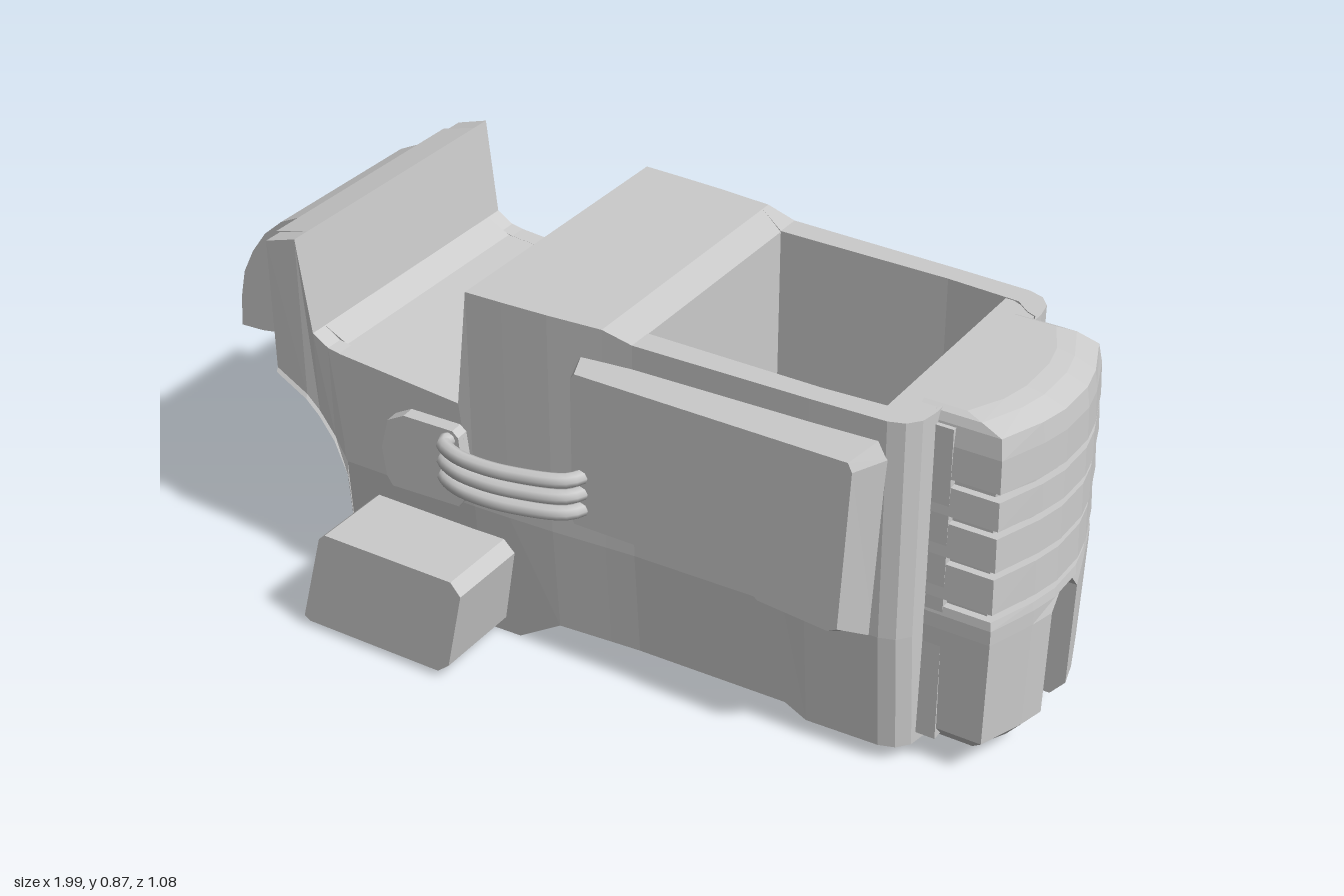
import * as THREE from 'three';

const flat = new THREE.MeshStandardMaterial({ color: 0xcccccc, flatShading: true });
const smooth = new THREE.MeshStandardMaterial({ color: 0xcccccc });

// 2D projections in which rings run counter-clockwise, seen from the loft direction
const PROJECT = {
  x: p => new THREE.Vector2(-p[2], p[1]),
  y: p => new THREE.Vector2(p[0], -p[2]),
  z: p => new THREE.Vector2(p[0], p[1]),
};

// Skin equal-length rings along an axis and cap both ends
function loft(rings, axis) {
  const n = rings[0].length, last = (rings.length - 1) * n, index = [];
  for (let i = 0; i < rings.length - 1; i++) {
    for (let j = 0; j < n; j++) {
      const a = i * n + j, b = i * n + (j + 1) % n;
      index.push(a, b, b + n, a, b + n, a + n);
    }
  }
  const cap = ring => THREE.ShapeUtils.triangulateShape(ring.map(PROJECT[axis]), []);
  for (const [a, b, c] of cap(rings[0])) index.push(a, c, b);
  for (const [a, b, c] of cap(rings[rings.length - 1])) index.push(last + a, last + b, last + c);
  const g = new THREE.BufferGeometry();
  g.setAttribute('position', new THREE.Float32BufferAttribute(rings.flat(2), 3));
  g.setIndex(index);
  g.computeVertexNormals();
  return g;
}

// Mirror across z and restore the winding
function mirrorZ(geometry) {
  const g = geometry.clone().scale(1, 1, -1), ix = g.index;
  for (let i = 0; i < ix.count; i += 3) {
    const b = ix.getX(i + 1);
    ix.setX(i + 1, ix.getX(i + 2));
    ix.setX(i + 2, b);
  }
  g.computeVertexNormals();
  return g;
}

// Side-view outline (counter-clockwise) between two depths
const slab = (pts, z0, z1, outer = pts) =>
  loft([pts.map(([x, y]) => [x, y, z0]), outer.map(([x, y]) => [x, y, z1])], 'z');

export function createModel() {
  const model = new THREE.Group();
  const add = (name, geometry, material = flat) => {
    const m = new THREE.Mesh(geometry, material);
    m.name = name;
    model.add(m);
    return m;
  };
  const addPair = (name, geometry, material) => {
    add(name + 'Front', geometry, material);
    add(name + 'Back', mirrorZ(geometry), material);
  };

  // Inner core: floor, cockpit alcove, open cargo pit and rear arch in one outline
  const core = [
    [-0.6, 0.03], [-0.17, 0.03], [-0.06, 0.09], [0.5, 0.09], [0.55, 0.06], [0.775, 0.06],
    [0.775, 0.845], [0.69, 0.845], [0.69, 0.3], [0.14, 0.3], [0.14, 0.845], [0.07, 0.865],
    [-0.26, 0.865], [-0.262, 0.83], [0.1, 0.83], [0.1, 0.59], [-0.29, 0.585], [-0.62, 0.61],
    [-0.68, 0.64], [-0.71, 0.865], [-0.8, 0.84], [-0.785, 0.51], [-0.71, 0.465],
    [-0.64, 0.375], [-0.605, 0.29],
  ];
  const coreRing = s => core.map(([x, y]) => [x, y, s * (x > 0.76 ? 0.23 : x > 0.12 ? 0.27 : 0.31)]);
  add('bodyCore', loft([coreRing(-1), coreRing(1)], 'z'));

  // Side walls, stations: x, bottom, top, outer z, inner z
  const stations = [
    [-0.79, 0.51, 0.84, 0.357, 0.3], [-0.71, 0.465, 0.865, 0.357, 0.31],
    [-0.68, 0.43, 0.64, 0.353, 0.31], [-0.64, 0.375, 0.615, 0.353, 0.31],
    [-0.61, 0.29, 0.61, 0.353, 0.31], [-0.615, 0, 0.61, 0.353, 0.31],
    [-0.29, 0, 0.585, 0.353, 0.31], [-0.26, 0, 0.865, 0.353, 0.31],
    [-0.17, 0, 0.865, 0.35, 0.31], [-0.06, 0.07, 0.865, 0.345, 0.31],
    [0.07, 0.07, 0.865, 0.335, 0.31], [0.14, 0.07, 0.847, 0.33, 0.27],
    [0.5, 0.07, 0.847, 0.322, 0.27], [0.55, 0.04, 0.847, 0.321, 0.27],
    [0.72, 0.04, 0.847, 0.315, 0.26], [0.755, 0.04, 0.847, 0.303, 0.23],
    [0.778, 0.04, 0.847, 0.275, 0.22], [0.785, 0.04, 0.847, 0.235, 0.2],
  ];
  addPair('sideWall', loft(stations.map(([x, b, t, zo, zi]) => {
    const mid = Math.max(0.33, b + 0.01);
    const low = zo - 0.1 * Math.max(0, 0.33 - b);
    return [[x, b, low], [x, b, Math.min(zi, low - 0.02)], [x, t, zi], [x, t, zo], [x, mid, zo - 0.005]];
  }), 'x'));

  // Curved rear fender
  add('rearFender', slab([
    [-1, 0.505], [-0.94, 0.508], [-0.87, 0.52], [-0.77, 0.505], [-0.78, 0.835], [-0.81, 0.832],
    [-0.86, 0.808], [-0.91, 0.765], [-0.95, 0.71], [-0.98, 0.65], [-0.995, 0.58],
  ], -0.222, 0.222));

  // Nose plan at height y: shrink s, half width w, optional half-width of the centre notch
  const plan = (y, s = 0, notch = 0, w = 0.235 - s) => [
    [0.74, y, w], [0.935 - s, y, w], [0.975 - s, y, 0.12],
    ...(notch ? [[0.99 - s, y, notch], [0.83, y, notch], [0.83, y, -notch], [0.99 - s, y, -notch]]
      : [[0.99 - s, y, 0.05], [0.99 - s, y, -0.05]]),
    [0.975 - s, y, -0.12], [0.935 - s, y, -w], [0.74, y, -w],
  ];
  add('noseLower', loft([plan(0.05, 0.04, 0.06), plan(0.09, 0.006, 0.06), plan(0.345, 0, 0.06), plan(0.38, 0, 0.03)], 'y'));
  add('noseGrilleBack', loft([plan(0.38, 0.02), plan(0.8, 0.02)], 'y'));
  for (const [y0, y1] of [[0.38, 0.4], [0.42, 0.503], [0.522, 0.6], [0.62, 0.685]]) {
    add('noseSlat', loft([plan(y0), plan(y1, 0.003)], 'y'));
  }
  add('noseCap', loft([plan(0.705, 0.002), plan(0.78, 0.005), plan(0.825, 0.012), plan(0.843, 0.06, 0, 0.215), plan(0.85, 0.1, 0, 0.2)], 'y'));
  add('noseCheeks', new THREE.BoxGeometry(0.085, 0.755, 0.468).translate(0.7825, 0.4425, 0));
  add('notchPost', new THREE.CylinderGeometry(0.026, 0.026, 0.27, 16).translate(0.845, 0.215, 0), smooth);

  // Raised side panels with chamfered rims
  const panelBase = [
    [-0.02, 0.4], [0, 0.385], [0.42, 0.365], [0.47, 0.34], [0.65, 0.315],
    [0.705, 0.322], [0.732, 0.76], [0.71, 0.803], [0.01, 0.803], [-0.02, 0.77],
  ];
  const panelFace = [
    [0.02, 0.41], [0.025, 0.402], [0.44, 0.402], [0.475, 0.372], [0.64, 0.358],
    [0.662, 0.37], [0.682, 0.75], [0.672, 0.77], [0.03, 0.77], [0.02, 0.755],
  ];
  addPair('sidePanel', slab(panelBase, 0.3, 0.38, panelFace));

  // Footrest boxes
  addPair('footBox', slab([
    [-0.605, 0.025], [-0.59, 0.015], [-0.235, 0.015], [-0.205, 0.04],
    [-0.165, 0.235], [-0.19, 0.265], [-0.53, 0.265], [-0.547, 0.25],
  ], 0.29, 0.54));

  // Hose mounting plates
  const plate = [
    [-0.475, 0.36], [-0.46, 0.338], [-0.28, 0.345], [-0.258, 0.375], [-0.275, 0.52],
    [-0.29, 0.533], [-0.42, 0.53], [-0.465, 0.505], [-0.485, 0.43],
  ];
  addPair('hosePlate', slab(plate, 0.32, 0.385, plate.map(([x, y]) => [x + 0.005, y])));

  // Three hoses on each side
  for (const y of [0.43, 0.47, 0.51]) {
    const path = new THREE.CatmullRomCurve3([
      [-0.285, 0, 0.36], [-0.298, 0, 0.4], [-0.25, 0.001, 0.43], [-0.19, 0.002, 0.44],
      [-0.1, 0.006, 0.437], [0.025, 0.014, 0.405], [0.05, 0.015, 0.36],
    ].map(([x, dy, z]) => new THREE.Vector3(x, y + dy, z)));
    addPair('hose', new THREE.TubeGeometry(path, 24, 0.017, 8), smooth);
  }

  return model;
}
